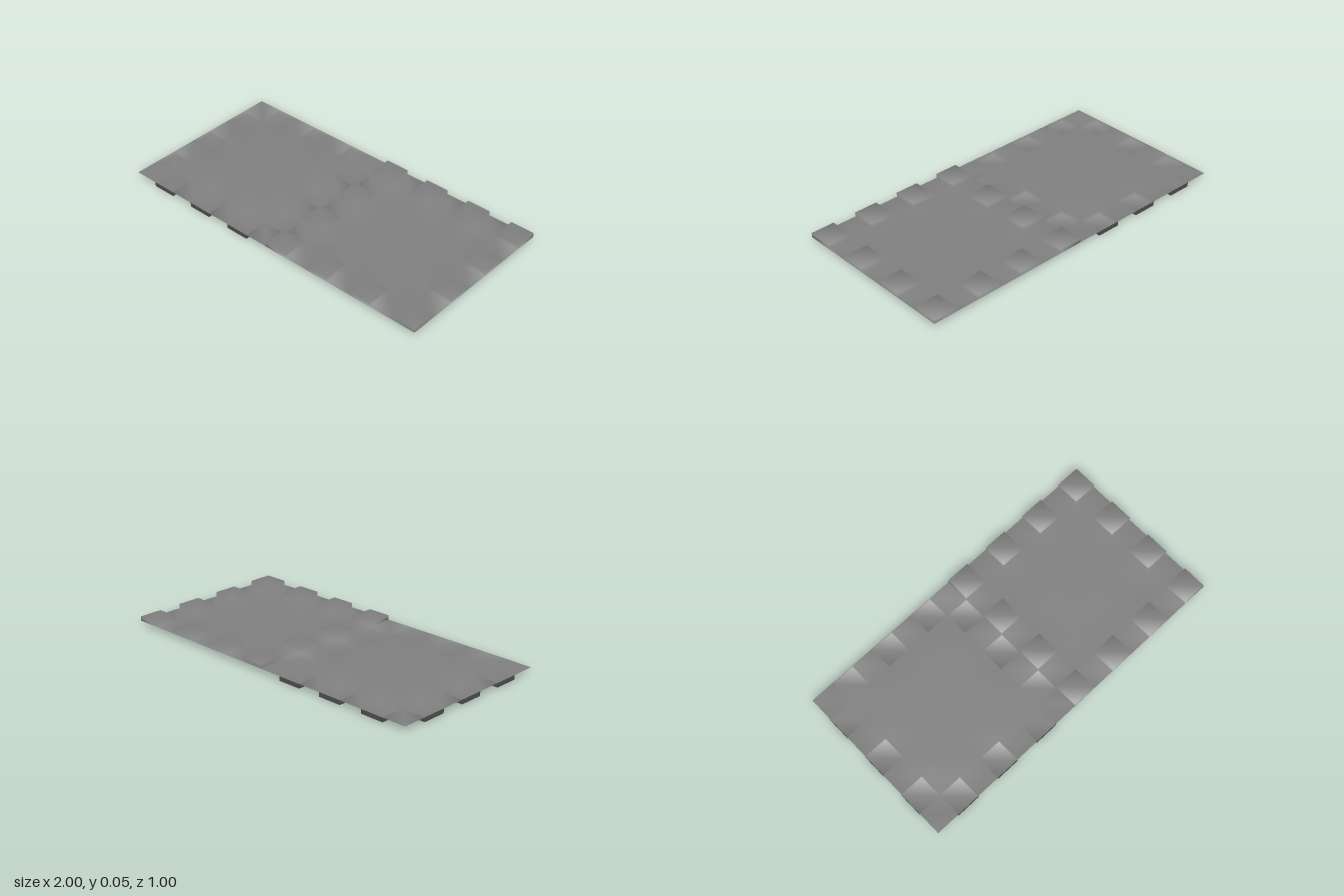
import * as THREE from 'three';
import { mergeVertices } from 'three/addons/utils/BufferGeometryUtils.js';

const N = 7;            // cells per panel side
const CELL = 1 / N;
const STEP = 0.026;     // height of a tab

// A square sheet whose border cells are pressed up or down in alternation
function panel(name, x, parity, offset, material) {
  const isEnd = (k) => k === 0 || k === N - 1;
  const height = (i, j) => {
    if (i < 0 || j < 0 || i >= N || j >= N) return 0;
    if (!isEnd(i) && !isEnd(j)) return 0;
    const along = isEnd(j) ? i : j;
    return along % 2 === parity ? offset : 0;
  };
  const positions = [];
  const quad = (a, b, c, d) => positions.push(...a, ...b, ...c, ...a, ...c, ...d);
  const at = (i) => i * CELL - 0.5;

  for (let i = 0; i <= N; i++) {
    for (let j = 0; j <= N; j++) {
      const x0 = at(i), x1 = at(i + 1), z0 = at(j), z1 = at(j + 1);
      const h = height(i, j), left = height(i - 1, j), back = height(i, j - 1);
      // cell surface
      if (i < N && j < N) quad([x0, h, z0], [x0, h, z1], [x1, h, z1], [x1, h, z0]);
      // walls where neighbouring cells differ in height
      if (left !== h) quad([x0, left, z0], [x0, left, z1], [x0, h, z1], [x0, h, z0]);
      if (back !== h) quad([x0, back, z0], [x0, h, z0], [x1, h, z0], [x1, back, z0]);
    }
  }

  let geometry = new THREE.BufferGeometry();
  geometry.setAttribute('position', new THREE.Float32BufferAttribute(positions, 3));
  geometry = mergeVertices(geometry, 1e-4);
  geometry.computeVertexNormals();
  const mesh = new THREE.Mesh(geometry, material);
  mesh.name = name;
  mesh.position.set(x, STEP, 0);
  return mesh;
}

export function createModel() {
  const group = new THREE.Group();
  group.name = 'tabbedPanels';
  const material = new THREE.MeshStandardMaterial({ color: 0x808080, side: THREE.DoubleSide });
  group.add(panel('panelWithLoweredTabs', -0.5, 1, -STEP, material));
  group.add(panel('panelWithRaisedTabs', 0.5, 0, STEP, material));
  return group;
}
